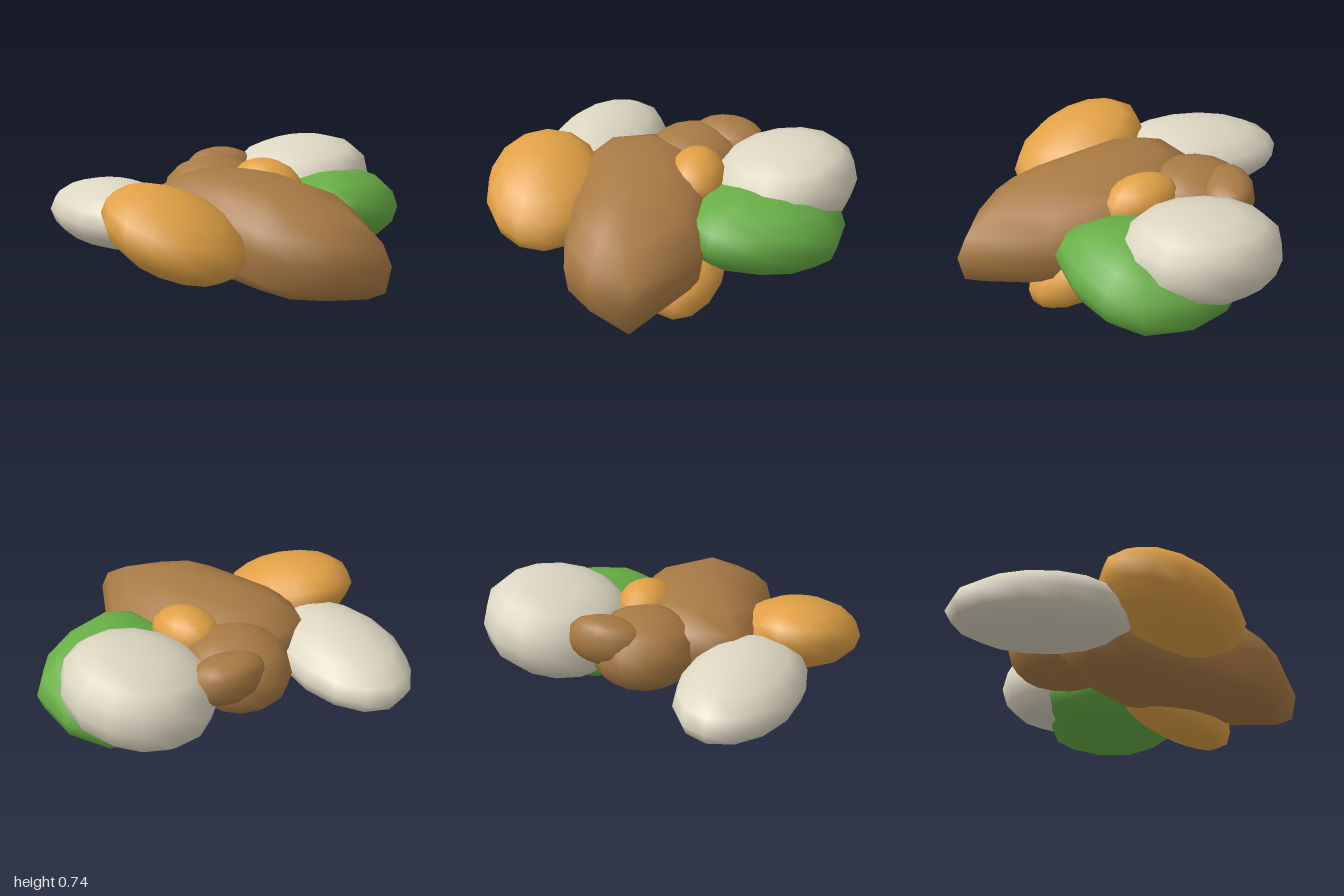
import * as THREE from 'three';

const material = (name, color) => {
  const m = new THREE.MeshStandardMaterial({ color });
  m.name = name;
  return m;
};

// Oval plan outline: half width, half length, turned about y (positive swings the front to +x).
function oval(halfWidth, halfLength, turn = 0, sides = 14) {
  const points = [];
  for (let i = 0; i < sides; i++) {
    const a = (i / sides) * Math.PI * 2;
    points.push(new THREE.Vector2(halfWidth * Math.sin(a), halfLength * Math.cos(a))
      .rotateAround(new THREE.Vector2(), -turn));
  }
  return points;
}

const drawn = (points) => points.map(([x, z]) => new THREE.Vector2(x, z));

// Pebble: the plan outline shrinks in rings above and below a middle plane.
// sx and sz tilt that plane; lower values of over / under make the upper / lower half blunter.
function pebble(outline, halfHeight, { sx = 0, sz = 0, over = 1, under = 1 }) {
  const n = outline.length, rings = 8, pos = [], index = [];
  const add = (x, z, lift) => pos.push(x, lift + sx * x + sz * z, z);

  add(0, 0, -halfHeight);
  for (let r = 1; r < rings; r++) {
    const a = (r / rings - 0.5) * Math.PI;
    const full = a < 0 ? under : over;
    const s = Math.cos(a) ** full;
    const lift = halfHeight * Math.sign(r - rings / 2) * Math.abs(Math.sin(a)) ** full;
    for (const p of outline) add(p.x * s, p.y * s, lift);
  }
  add(0, 0, halfHeight);

  const top = pos.length / 3 - 1;
  const id = (r, i) => 1 + (r - 1) * n + (i % n);
  for (let i = 0; i < n; i++) {
    index.push(0, id(1, i + 1), id(1, i));
    for (let r = 1; r < rings - 1; r++) {
      index.push(id(r, i), id(r, i + 1), id(r + 1, i));
      index.push(id(r, i + 1), id(r + 1, i + 1), id(r + 1, i));
    }
    index.push(top, id(rings - 1, i), id(rings - 1, i + 1));
  }
  const g = new THREE.BufferGeometry();
  g.setAttribute('position', new THREE.Float32BufferAttribute(pos, 3));
  g.setIndex(index);
  g.computeVertexNormals();
  return g;
}

export function createModel() {
  const brown = material('brown', 0xa87a44);
  const orange = material('orange', 0xe0a045);
  const green = material('green', 0x68ae46);
  const cream = material('cream', 0xddd6c2);

  const model = new THREE.Group();
  model.name = 'lobeCluster';
  const lobe = (name, mat, [x, y, z], outline, halfHeight, shape = {}) => {
    const mesh = new THREE.Mesh(pebble(outline, halfHeight, shape), mat);
    mesh.name = name;
    mesh.position.set(x, y, z);
    model.add(mesh);
  };

  // long central body, sloping down to a blunt-bottomed point at the front
  const bodyOutline = drawn([
    [0.25, 0.69], [0.46, 0.2], [0.35, -0.32], [0.13, -0.58], [-0.15, -0.69], [-0.39, -0.58],
    [-0.46, -0.36], [-0.38, -0.03], [-0.3, 0.27], [-0.21, 0.47], [-0.02, 0.59],
  ]);
  lobe('mainBody', brown, [-0.08, 0.385, 0.28], bodyOutline, 0.265, { sz: -0.15, over: 0.95, under: 0.58 });

  // lobes on the right side
  lobe('rightLobe', orange, [-0.655, 0.43, 0.2], oval(0.335, 0.395, 0.4), 0.21, { sx: -0.09, sz: -0.28 });
  lobe('backRightLobe', cream, [-0.575, 0.4, -0.47], oval(0.32, 0.51), 0.185);

  // overlapping lobes on the left side; the lower one reaches far under the upper one
  const lowerOutline = drawn([
    [0.4, 0.08], [0.37, -0.2], [0.22, -0.42], [-0.08, -0.47], [-0.36, -0.45], [-0.47, -0.2],
    [-0.44, 0.2], [-0.35, 0.39], [-0.2, 0.46], [0.06, 0.4], [0.27, 0.27],
  ]);
  lobe('lowerLeftLobe', green, [0.6, 0.36, 0], lowerOutline, 0.235, { sx: -0.04, sz: 0.07 });
  lobe('upperLeftLobe', cream, [0.58, 0.472, -0.29], oval(0.405, 0.435), 0.245,
    { sx: 0.12, over: 0.8, under: 0.9 });

  // two small lobes at the back
  lobe('backLobe', brown, [0.02, 0.46, -0.36], oval(0.29, 0.31), 0.2, { over: 0.9, under: 0.9 });
  lobe('smallBackLobe', brown, [0.17, 0.535, -0.51], oval(0.225, 0.155), 0.135,
    { sz: -0.15, over: 0.8, under: 0.9 });

  // small lobe emerging on top of the body, and a steep one below it reaching the ground
  lobe('topLobe', orange, [0.15, 0.545, -0.04], oval(0.165, 0.22, 0.25), 0.14, { sz: -0.1 });
  lobe('underLobe', orange, [0.21, 0.228, 0.27], oval(0.235, 0.33, 0.15), 0.185, { sz: -0.42, under: 0.8 });

  return model;
}
